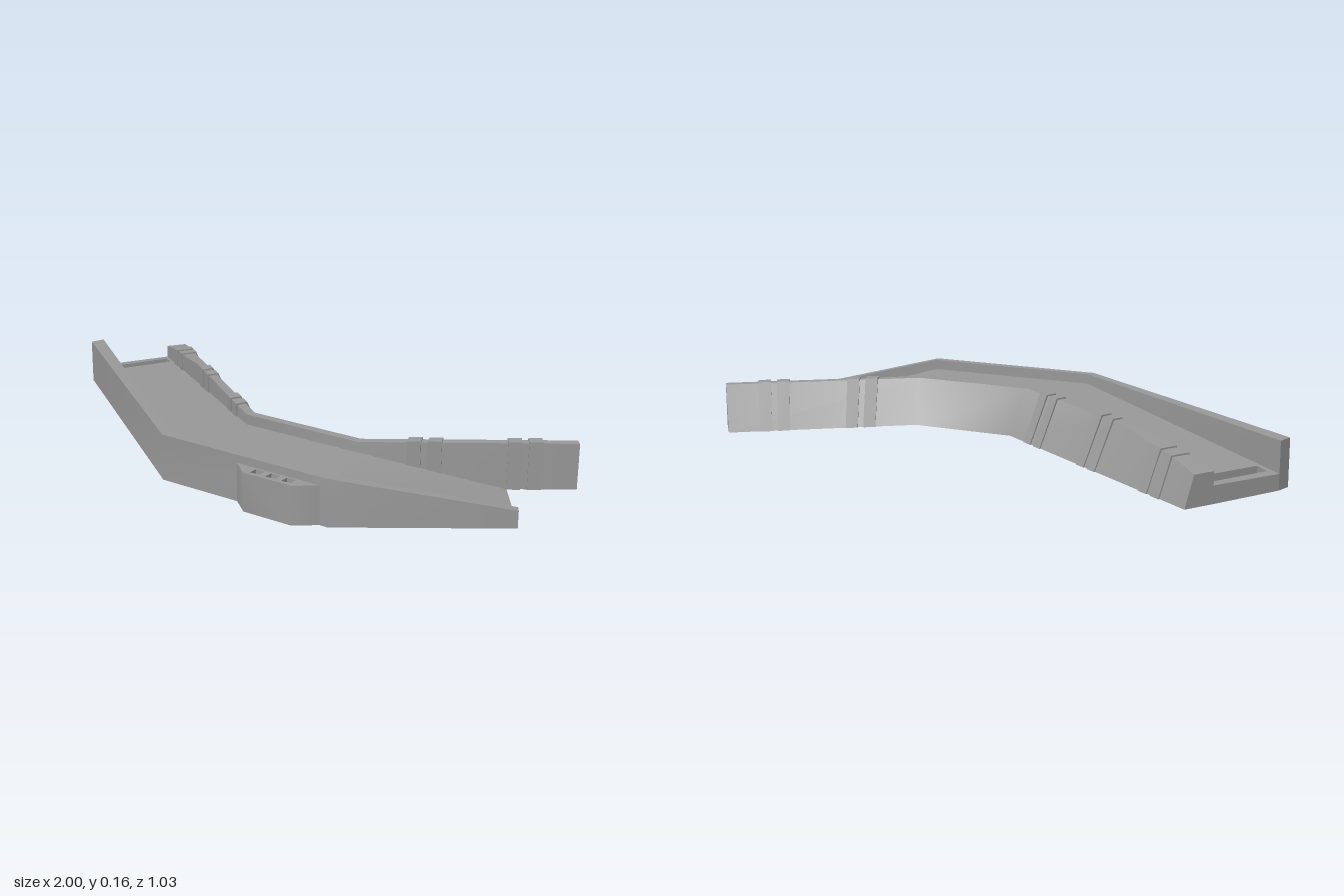
import * as THREE from 'three';
import { mergeGeometries, toCreasedNormals } from 'three/addons/utils/BufferGeometryUtils.js';

const mat = new THREE.MeshStandardMaterial({ color: 0x999999, side: THREE.DoubleSide });
const FULL = 0.155;
const lerp = (a, b, t) => a + (b - a) * t;
const mix = (p, q, t) => [lerp(p[0], q[0], t), lerp(p[1], q[1], t)];

// Gentle bends shade smoothly, corners stay sharp
function add(group, name, geo) {
  const mesh = new THREE.Mesh(toCreasedNormals(geo, 0.75), mat);
  mesh.name = name;
  group.add(mesh);
}

// Upright block with a plan outline of [x, z] points and a top height given by a rule
function prism(outline, top, holes = []) {
  const path = (pts) => pts.map(([x, z]) => new THREE.Vector2(x, -z));
  const shape = new THREE.Shape(path(outline));
  shape.holes = holes.map((h) => new THREE.Path(path(h)));
  const geo = new THREE.ExtrudeGeometry(shape, { depth: 1, bevelEnabled: false });
  geo.rotateX(-Math.PI / 2);
  const p = geo.attributes.position;
  for (let i = 0; i < p.count; i++) {
    if (p.getY(i) > 0.5) p.setY(i, top(p.getX(i), p.getZ(i)));
  }
  return geo;
}

// Solid skinned over four-cornered cross-sections, with end caps
function loft(sections) {
  const pos = sections.flat(2), idx = [], n = 4;
  for (let s = 0; s < sections.length - 1; s++) {
    for (let i = 0; i < n; i++) {
      const a = s * n + i, b = s * n + ((i + 1) % n);
      idx.push(a, b, a + n, b, b + n, a + n);
    }
  }
  const e = (sections.length - 1) * n;
  idx.push(0, 2, 1, 0, 3, 2, e, e + 1, e + 2, e, e + 2, e + 3);
  const geo = new THREE.BufferGeometry();
  geo.setAttribute('position', new THREE.Float32BufferAttribute(pos, 3));
  geo.setIndex(idx);
  return geo.toNonIndexed();
}

// Wall cross-section from base points o (back) to i (front); the back face leans by "lean"
function section(o, i, h, lean = 0, grow = 0) {
  const g = grow / Math.hypot(i[0] - o[0], i[1] - o[1]);
  const a = mix(o, i, -g), b = mix(o, i, 1 + g);
  const t = mix(o, i, lean * h / FULL - g);
  const y = h + grow;
  return [[a[0], 0, a[1]], [t[0], y, t[1]], [b[0], y, b[1]], [b[0], 0, b[1]]];
}

// Back wall base line, left end to right end: [back, front]
const BACK = [
  [[-0.79, -0.52], [-0.848, -0.432]],
  [[0.03, 0.045], [-0.01, 0.15]],
  [[0.40, 0.045], [0.43, 0.15]],
  [[0.935, -0.33], [1.0, -0.247]],
];

// Height of the back wall, which dips towards one end
const DIP = [[0, 0.1], [0.06, 0.112], [0.14, 0.124], [0.28, 0.136], [0.42, FULL], [1, FULL]];
function dipHeight(t) {
  const k = DIP.findIndex(([end], i) => i > 0 && t <= end);
  const [t0, h0] = DIP[k - 1], [t1, h1] = DIP[k];
  return lerp(h0, h1, (t - t0) / (t1 - t0));
}

// The back face also steepens where the wall dips
function backSection(span, t, grow = 0) {
  const o = mix(BACK[span][0], BACK[span + 1][0], t);
  const i = mix(BACK[span][1], BACK[span + 1][1], t);
  if (span > 0) return section(o, i, FULL, 0.71, grow);
  return section(o, i, dipHeight(t), Math.min(0.71, 0.47 + 0.7 * t), grow);
}

export function createModel() {
  const group = new THREE.Group();

  // Floor in three runs: gentle slope with a recess, level middle, exit ramp
  const A = [-0.01, 0.15], B = [-0.10, 0.43], C = [0.43, 0.15], D = [0.52, 0.43];
  const recess = [[-0.83, -0.405], [-0.785, -0.375], [-0.905, -0.175], [-0.945, -0.21]];
  const slope = (x, z) => 0.12 - 0.065 * (-0.952 * (x - A[0]) - 0.306 * (z - A[1]));
  const ramp = (x, z) =>
    Math.max(0.0005, 0.12 * (1 - (0.952 * (x - C[0]) - 0.306 * (z - C[1])) / 0.452));
  add(group, 'floor', mergeGeometries([
    prism([[-0.848, -0.432], A, B, [-0.985, -0.215]], slope, [recess]),
    prism([A, C, D, B], () => 0.12),
    prism([C, [0.82, -0.117], [0.975, 0.108], D], ramp),
  ]));
  add(group, 'recessBottom', prism(recess, () => 0.035));

  // Front wall, dropping along the ramp
  add(group, 'frontWall', loft([
    section([-0.985, -0.215], [-1.0, -0.165], FULL),
    section(B, [-0.11, 0.462], FULL),
    section(D, [0.53, 0.462], FULL),
    section([0.975, 0.11], [0.99, 0.135], 0.057),
  ]));

  // Back wall with leaning outer face
  add(group, 'backWall', loft([
    ...DIP.map(([t]) => backSection(0, t)),
    backSection(1, 1),
    backSection(2, 1),
  ]));

  // Paired straps wrapped over the back wall
  const straps = [[0, 0.175], [0, 0.52], [0, 0.85], [2, 0.3], [2, 0.757]];
  // Measured from the dipping end on the first run
  for (const [span, centre] of straps) {
    const p = BACK[span][0], q = BACK[span + 1][0];
    const len = Math.hypot(q[0] - p[0], q[1] - p[1]);
    for (const side of [-1, 1]) {
      const mid = centre + side * 0.031 / len, half = 0.021 / len;
      add(group, 'strap', loft([-half, half].map((d) => backSection(span, mid + d, 0.005))));
    }
  }

  // Pod on the front with three square pockets
  const pod = [[0.19, 0.455], [0.50, 0.455], [0.50, 0.462], [0.435, 0.515], [0.255, 0.515], [0.19, 0.462]];
  const pockets = [0.287, 0.345, 0.403].map((x) =>
    [[x - 0.017, 0.47], [x + 0.017, 0.47], [x + 0.017, 0.5], [x - 0.017, 0.5]]);
  add(group, 'frontPod', prism(pod, () => 0.128, pockets));
  for (const p of pockets) add(group, 'pocketBottom', prism(p, () => 0.115));

  return group;
}
